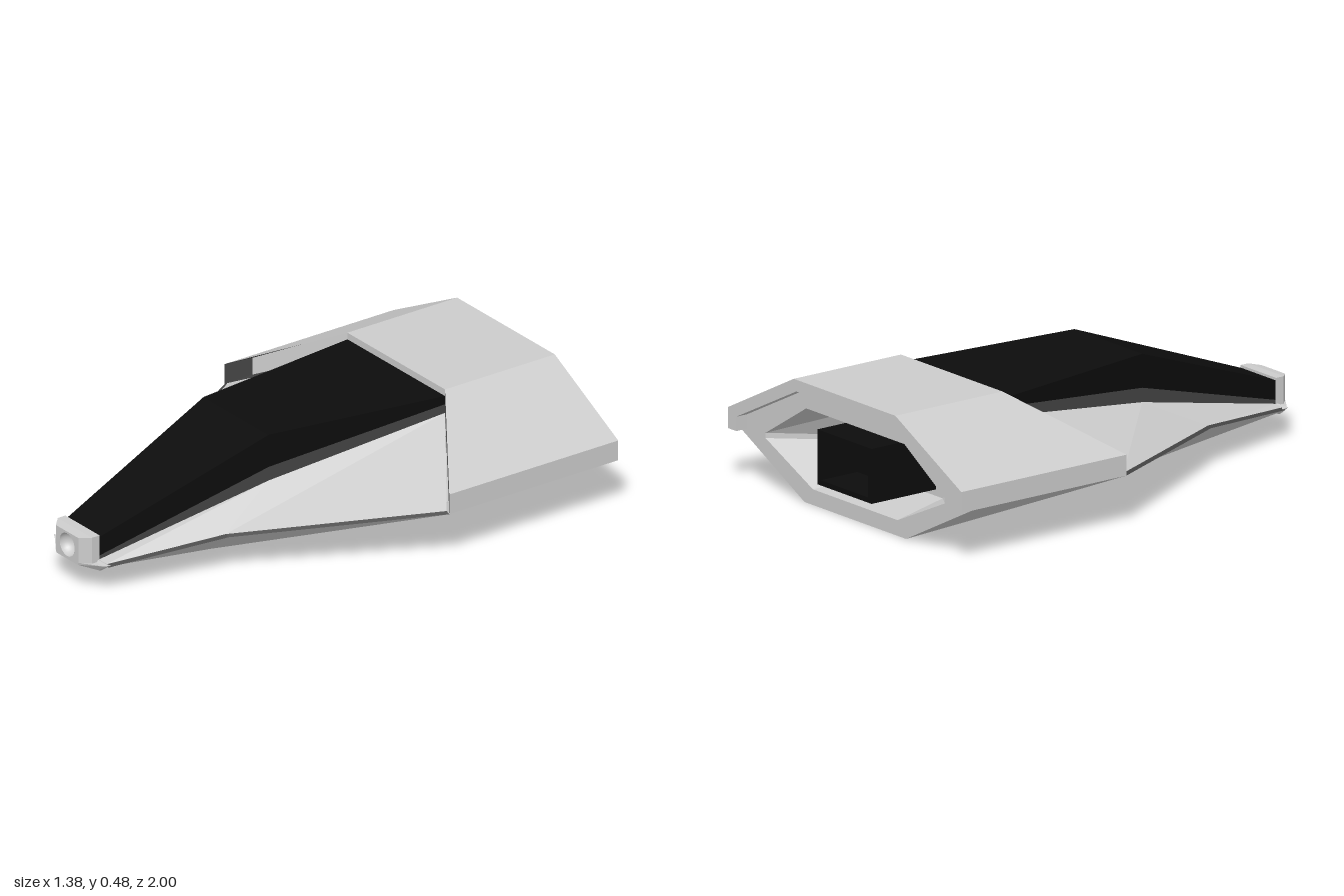
import * as THREE from 'three';

const grey = new THREE.MeshStandardMaterial({ color: 0xcccccc, flatShading: true, side: THREE.DoubleSide });
const trim = new THREE.MeshStandardMaterial({ color: 0x444444, flatShading: true, side: THREE.DoubleSide });
const black = new THREE.MeshStandardMaterial({ color: 0x0c0c0c, flatShading: true, side: THREE.DoubleSide });

// Faceted skin over rows of points: rows run front to back, points run counter-clockwise seen from the front.
function skin(rows, closed = false) {
  const pos = [];
  for (let i = 0; i < rows.length - 1; i++) {
    const n = rows[i].length;
    for (let j = 0; j < (closed ? n : n - 1); j++) {
      const k = (j + 1) % n;
      const [a, b, c, d] = [rows[i][j], rows[i + 1][j], rows[i + 1][k], rows[i][k]];
      pos.push(...a, ...b, ...c, ...a, ...c, ...d);
    }
  }
  const g = new THREE.BufferGeometry();
  g.setAttribute('position', new THREE.Float32BufferAttribute(pos, 3));
  g.computeVertexNormals();
  return g;
}

// Completes a right-to-left half row with its mirror image.
const flip = (row) => row.map(([x, y, z]) => [-x, y, z]).reverse();
const whole = (row) => [...row, ...flip(row)];

export function createModel() {
  const model = new THREE.Group();
  const add = (name, geometry, material = grey) => {
    const m = new THREE.Mesh(geometry, material);
    m.name = name;
    model.add(m);
    return m;
  };
  const addPair = (name, rows, material, closed) => {
    add(name + 'Left', skin(rows, closed), material);
    add(name + 'Right', skin(rows.map(flip), closed), material);
  };

  // Belly: chine and keel edge at four stations
  const belly = [
    [0.16, 0.11, 0.1, 0.085, 0.93],
    [0.29, 0.155, 0.18, 0.066, 0.48],
    [0.69, 0.2, 0.3, 0.035, -0.23],
    [0.69, 0.2, 0.3, 0, -0.95],
  ];
  add('belly', skin(belly.map(([cx, cy, kx, ky, z]) =>
    [[-cx, cy, z], [-kx, ky, z], [kx, ky, z], [cx, cy, z]])));

  // Sloping upper side panels with a thin dark edge
  const chine = [[0.16, 0.11, 0.93], [0.29, 0.155, 0.48], [0.69, 0.2, -0.23]];
  const lip = chine.map(([x, y, z]) => [x - 0.016, y + 0.007, z]);
  const sill = [[0.1, 0.12, 0.93], [0.2, 0.28, 0.23], [0.3, 0.385, -0.5]];
  addPair('sidePanel', lip.map((p, i) => [p, sill[i]]), grey);
  addPair('chineTrim', chine.map((p, i) => [p, lip[i]]), trim);

  // Canopy: upright dark sill band and black cover
  const bandTop = [0.135, 0.335, 0.42];
  const roof = [0.21, 0.465, 0.453];
  addPair('canopySill', sill.map(([x, y, z], i) => [[x, y, z], [x, bandTop[i], z]]), trim);
  add('canopy', skin(sill.map(([x, , z], i) => whole([[x, bandTop[i], z], [x, roof[i], z]]))), black);

  // Rear hood with its swept front edge, and the rim folding in at the back
  const hoodEdge = [[0.69, 0.2], [0.69, 0.28], [0.3, 0.48]];
  const hoodFrontZ = [-0.23, -0.23, -0.5];
  const rim = [[0.64, 0.2], [0.64, 0.255], [0.285, 0.435]];
  const atZ = (pts, z) => pts.map(([x, y]) => [x, y, z]);
  add('hood', skin([
    whole(hoodEdge.map(([x, y], i) => [x, y, hoodFrontZ[i]])),
    whole(atZ(hoodEdge, -1)),
    whole(atZ(rim, -1)),
    whole(atZ(rim, -0.95)),
  ]));
  add('hoodUnderside', skin([
    [[-0.69, 0.2, -0.95], [-0.64, 0.2, -0.95], [0.64, 0.2, -0.95], [0.69, 0.2, -0.95]],
    [[-0.69, 0.2, -1], [-0.64, 0.2, -1], [-0.64, 0.2, -1], [-0.69, 0.2, -1]],
  ].map((r) => r.slice(0, 2))));
  add('hoodUndersideLeft', skin([[[0.64, 0.2, -0.95], [0.69, 0.2, -0.95]], [[0.64, 0.2, -1], [0.69, 0.2, -1]]]));
  add('hoodLip', new THREE.BoxGeometry(0.6, 0.028, 0.04)).position.set(0, 0.465, -0.521);

  // Side intakes under the hood: dark frame and recessed wall
  const mouth = [[0.69, 0.2, -0.23], [0.3, 0.385, -0.5], [0.3, 0.48, -0.5], [0.69, 0.28, -0.23]];
  const throat = [[0.655, 0.222, -0.33], [0.34, 0.372, -0.56], [0.34, 0.458, -0.56], [0.655, 0.29, -0.33]];
  addPair('intakeFrame', [mouth, throat], trim, true);
  addPair('intakeWall', [[throat[0], throat[1]], [throat[3], throat[2]]], grey);

  // Rear bulkhead with a tapering recess
  add('rearRecess', skin([
    whole(atZ([[0.3, 0], [0.69, 0.2], [0.645, 0.255], [0.29, 0.437]], -0.95)),
    whole(atZ([[0.25, 0.06], [0.53, 0.19], [0.53, 0.21], [0.29, 0.36]], -0.95)),
    whole(atZ([[0.2, 0.085], [0.3, 0.19], [0.3, 0.21], [0.2, 0.345]], -0.7)),
    whole(atZ([[0, 0.2], [0, 0.2], [0, 0.2], [0, 0.2]], -0.7)),
  ], true));

  // Black exhaust duct
  const rect = (Kind, w, h) => new Kind([[-w, -h], [w, -h], [w, h], [-w, h]].map((p) => new THREE.Vector2(...p)));
  const duct = rect(THREE.Shape, 0.16, 0.105);
  duct.holes.push(rect(THREE.Path, 0.14, 0.085));
  add('exhaustDuct', new THREE.ExtrudeGeometry(duct, { depth: 0.3, bevelEnabled: false }), black)
    .position.set(0, 0.215, -1);
  add('exhaustBack', new THREE.BoxGeometry(0.3, 0.19, 0.02), black).position.set(0, 0.215, -0.82);

  // Nose housing: tapered block, face with a round opening, and a hollow dish
  const block = (w, h, z) => [[w, 0.165 - h, z], [w, 0.165 + h, z], [-w, 0.165 + h, z], [-w, 0.165 - h, z]];
  add('noseHousing', skin([block(0.07, 0.05, 1), block(0.105, 0.055, 0.965), block(0.105, 0.055, 0.93),
    block(0, 0, 0.93)], true));
  const face = rect(THREE.Shape, 0.07, 0.05);
  face.holes.push(new THREE.Path().absarc(0, -0.003, 0.046, 0, Math.PI * 2, true));
  add('noseFace', new THREE.ShapeGeometry(face, 16)).position.set(0, 0.165, 1);
  const dishMat = new THREE.MeshStandardMaterial({ color: 0xcccccc, side: THREE.DoubleSide });
  const dish = new THREE.SphereGeometry(0.046, 24, 10, 0, Math.PI * 2, 0, Math.PI / 2).rotateX(-Math.PI / 2);
  add('noseDish', dish, dishMat).position.set(0, 0.162, 1);

  // Wedge below the nose with small pointed side fins
  const wedge = (w, yt, b, yb, z) => [[b, yb, z], [w, yt, z], [-w, yt, z], [-b, yb, z]];
  add('noseWedge', skin([
    wedge(0, 0.11, 0, 0.11, 1),
    wedge(0.07, 0.115, 0.065, 0.105, 1),
    wedge(0.15, 0.115, 0.12, 0.088, 0.945),
    wedge(0.17, 0.122, 0.12, 0.085, 0.935),
    wedge(0.16, 0.115, 0.1, 0.085, 0.92),
    wedge(0, 0.1, 0, 0.1, 0.92),
  ], true));
  return model;
}
